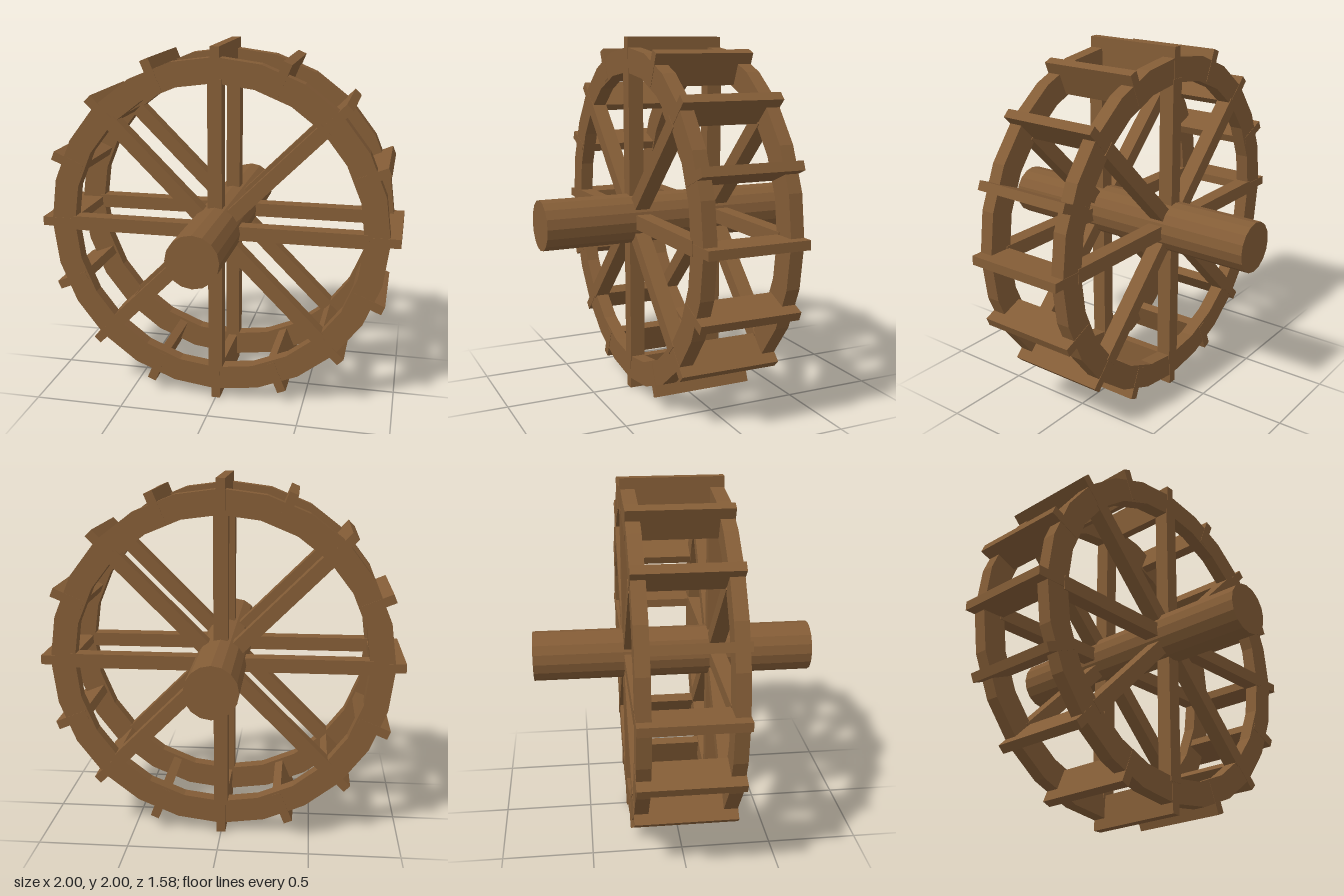
import * as THREE from 'three';

const wood = new THREE.MeshStandardMaterial({ color: 0x835c36, flatShading: true });
wood.name = 'brown wood';

const SIDES = 24, BLADES = 16;
const RIM_OUTER = 0.945, RIM_INNER = 0.81, RIM_DEPTH = 0.076, SIDE_Z = 0.24;

function part(name, geometry, parent) {
  const mesh = new THREE.Mesh(geometry, wood);
  mesh.name = name;
  parent.add(mesh);
  return mesh;
}

function ringPoints(radius) {
  return Array.from({ length: SIDES }, (_, i) => {
    const a = (i / SIDES) * Math.PI * 2;
    return new THREE.Vector2(Math.cos(a) * radius, Math.sin(a) * radius);
  });
}

export function createModel() {
  const model = new THREE.Group();
  model.name = 'waterWheel';
  const wheel = new THREE.Group();
  wheel.name = 'wheel';
  wheel.position.y = 1;
  model.add(wheel);

  // Axle running through both sides
  const axle = new THREE.CylinderGeometry(0.14, 0.14, 1.575, 16).rotateX(Math.PI / 2);
  part('axle', axle, wheel);

  // Faceted rims, each with four full-width spoke beams
  const rimShape = new THREE.Shape(ringPoints(RIM_OUTER));
  rimShape.holes.push(new THREE.Path(ringPoints(RIM_INNER).reverse()));
  const rimGeometry = new THREE.ExtrudeGeometry(rimShape, { depth: RIM_DEPTH, bevelEnabled: false });
  rimGeometry.translate(0, 0, -RIM_DEPTH / 2);
  const spokeGeometry = new THREE.BoxGeometry(1.665, 0.078, 0.085);

  for (const side of [1, -1]) {
    const label = side > 0 ? 'front' : 'back';
    part(label + 'Rim', rimGeometry, wheel).position.z = side * SIDE_Z;
    for (let i = 0; i < 4; i++) {
      const spoke = part(label + 'Spoke', spokeGeometry, wheel);
      spoke.position.z = side * SIDE_Z;
      spoke.rotation.z = (i * Math.PI) / 4;
    }
  }

  // Paddle boards bridging the two rims
  const paddleGeometry = new THREE.BoxGeometry(0.183, 0.05, 0.56).translate(0.9085, 0, 0);
  for (let i = 0; i < BLADES; i++) {
    part('paddle', paddleGeometry, wheel).rotation.z = (i / BLADES) * Math.PI * 2;
  }
  return model;
}
